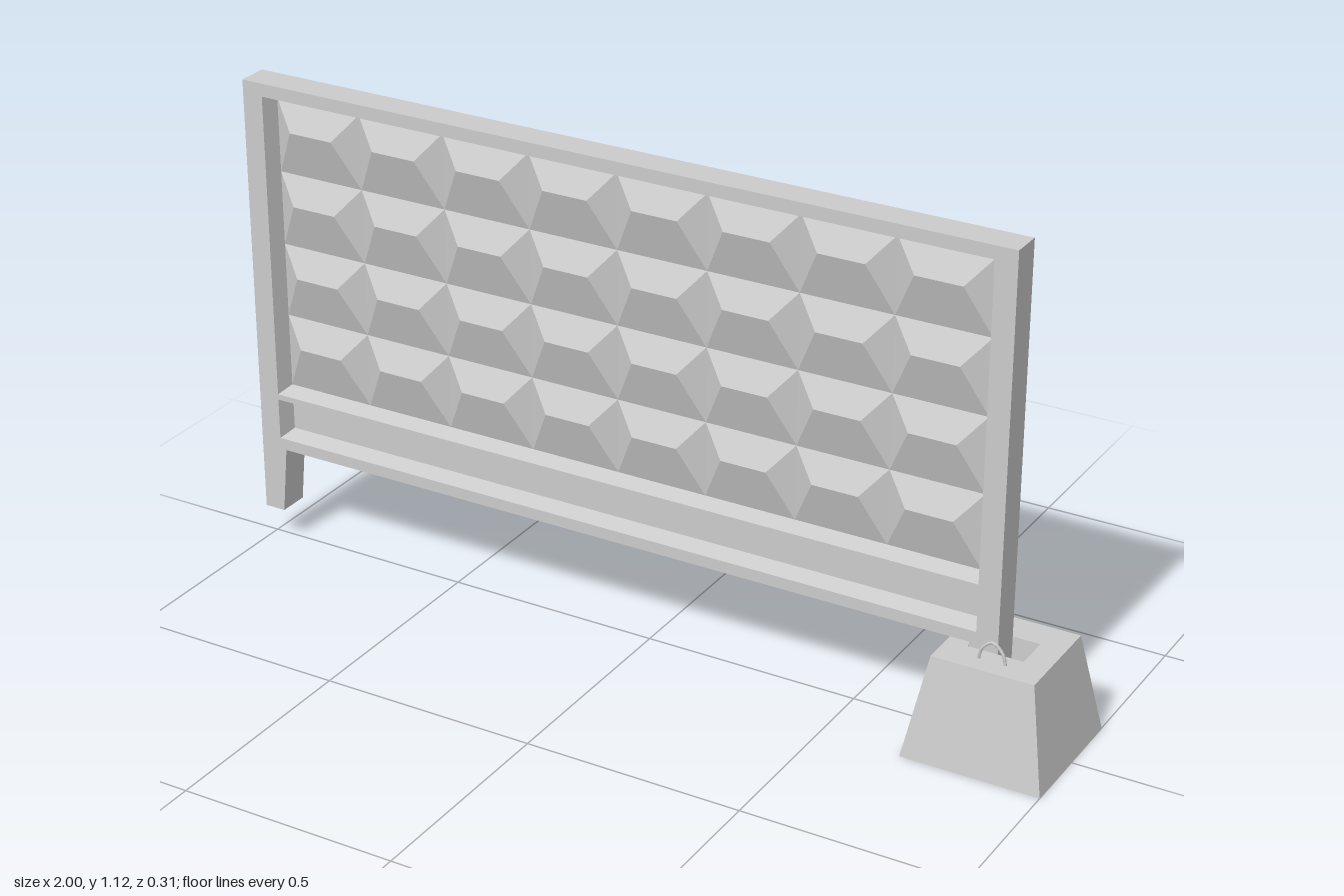
import * as THREE from 'three';

const grey = new THREE.MeshStandardMaterial({ color: 0xcccccc, flatShading: true, side: THREE.DoubleSide });

// Rectangle as a counter-clockwise loop of [x, y]
const rect = (x0, y0, x1, y1) => [[x0, y0], [x1, y0], [x1, y1], [x0, y1]];
const inset = (x0, y0, x1, y1, d) => rect(x0 + d, y0 + d, x1 - d, y1 - d);

function mesh(geometry, name, parent) {
  const m = new THREE.Mesh(geometry, grey);
  m.name = name;
  parent.add(m);
  return m;
}

// Geometry from triangles given as corner points
function fromTriangles(points) {
  const g = new THREE.BufferGeometry();
  g.setAttribute('position', new THREE.Float32BufferAttribute(points.flat(), 3));
  g.computeVertexNormals();
  return g;
}

const quad = (a, b, c, d) => [a, b, c, a, c, d];

// Walls joining loop a at height za to loop b at height zb
function loft(a, za, b, zb) {
  const pts = [];
  a.forEach((p, i) => {
    const j = (i + 1) % a.length;
    pts.push(...quad([...p, za], [...a[j], za], [...b[j], zb], [...b[i], zb]));
  });
  return fromTriangles(pts);
}

// Flat face with optional holes
function face(loop, z, holes = [], flip = false) {
  const vec = (l) => l.map(([x, y]) => new THREE.Vector2(x, y));
  const shape = new THREE.Shape(vec(loop));
  holes.forEach((h) => shape.holes.push(new THREE.Path(vec(h))));
  const g = new THREE.ShapeGeometry(shape);
  if (flip) g.rotateY(Math.PI).scale(-1, 1, 1).translate(0, 0, z);
  else g.translate(0, 0, z);
  if (flip) g.computeVertexNormals();
  return g;
}

function buildPanel() {
  const panel = new THREE.Group();
  panel.name = 'fencePanel';
  const zb = -0.036, zf = 0.036, zFloor = -0.004;

  // Slab outline with a tapered foot at each end
  const outline = [[-1, 0.08], [-0.95, 0.08], [-0.935, 0.238], [0.775, 0.238],
    [0.79, 0.08], [0.84, 0.08], [0.84, 1.12], [-1, 1.12]];
  const recesses = [[-0.95, 0.375, 0.79, 1.09], [-0.95, 0.265, 0.79, 0.362]];
  const draft = 0.012;

  mesh(face(outline, zf, recesses.map((r) => rect(...r))), 'panelFront', panel);
  const back = face(outline, zb);
  back.setIndex([...back.index.array].reverse());
  back.computeVertexNormals();
  mesh(back, 'panelBack', panel);
  mesh(loft(outline, zb, outline, zf), 'panelEdges', panel);

  // Recesses with sloping walls
  recesses.forEach((r) => {
    const floor = inset(...r, draft);
    mesh(loft(rect(...r), zf, floor, zFloor), 'recessWalls', panel);
    mesh(face(floor, zFloor), 'recessFloor', panel);
  });

  // Grid of hipped relief blocks, ridge set high in each cell
  const cols = 8, rows = 4;
  const x0 = -0.938, y0 = 0.387, w = 1.716 / cols, h = 0.691 / rows, top = 0.03;
  const pts = [];
  for (let c = 0; c < cols; c++) {
    for (let r = 0; r < rows; r++) {
      const x = x0 + c * w, y = y0 + r * h, z = zFloor + 0.001;
      const bl = [x, y, z], br = [x + w, y, z], tr = [x + w, y + h, z], tl = [x, y + h, z];
      const ridgeY = y + h * 0.64;
      const rl = [x + w * 0.25, ridgeY, top], rr = [x + w * 0.75, ridgeY, top];
      pts.push(...quad(bl, br, rr, rl), ...quad(tr, tl, rl, rr), tl, bl, rl, br, tr, rr);
    }
  }
  mesh(fromTriangles(pts), 'reliefBlocks', panel);
  return panel;
}

function buildFooting() {
  const footing = new THREE.Group();
  footing.name = 'footing';
  const h = 0.23;
  const bottom = rect(0.685, -0.156, 1, 0.156), top = rect(0.727, -0.115, 0.957, 0.115);
  const socket = rect(0.775, -0.041, 0.9, 0.041), socketFloor = rect(0.783, -0.037, 0.89, 0.037);

  // Tapered block with a socket, made lying down and then stood up
  const block = new THREE.Group();
  block.name = 'footingBlock';
  mesh(loft(bottom, 0, top, h), 'footingSides', block);
  mesh(face(top, h, [socket]), 'footingTop', block);
  mesh(loft(socket, h, socketFloor, 0.08), 'socketWalls', block);
  mesh(face(socketFloor, 0.08), 'socketFloor', block);
  const base = face(bottom, 0);
  base.setIndex([...base.index.array].reverse());
  base.computeVertexNormals();
  mesh(base, 'footingBase', block);
  block.rotation.x = -Math.PI / 2;
  footing.add(block);

  // Lifting loop
  const path = new THREE.CatmullRomCurve3([[0.813, 0.22], [0.82, 0.253], [0.844, 0.274],
    [0.868, 0.253], [0.875, 0.22]].map(([x, y]) => new THREE.Vector3(x, y, 0.073)));
  mesh(new THREE.TubeGeometry(path, 16, 0.0035, 6), 'liftingLoop', footing);
  return footing;
}

export function createModel() {
  const model = new THREE.Group();
  model.name = 'concreteFence';
  model.add(buildPanel(), buildFooting());
  return model;
}
